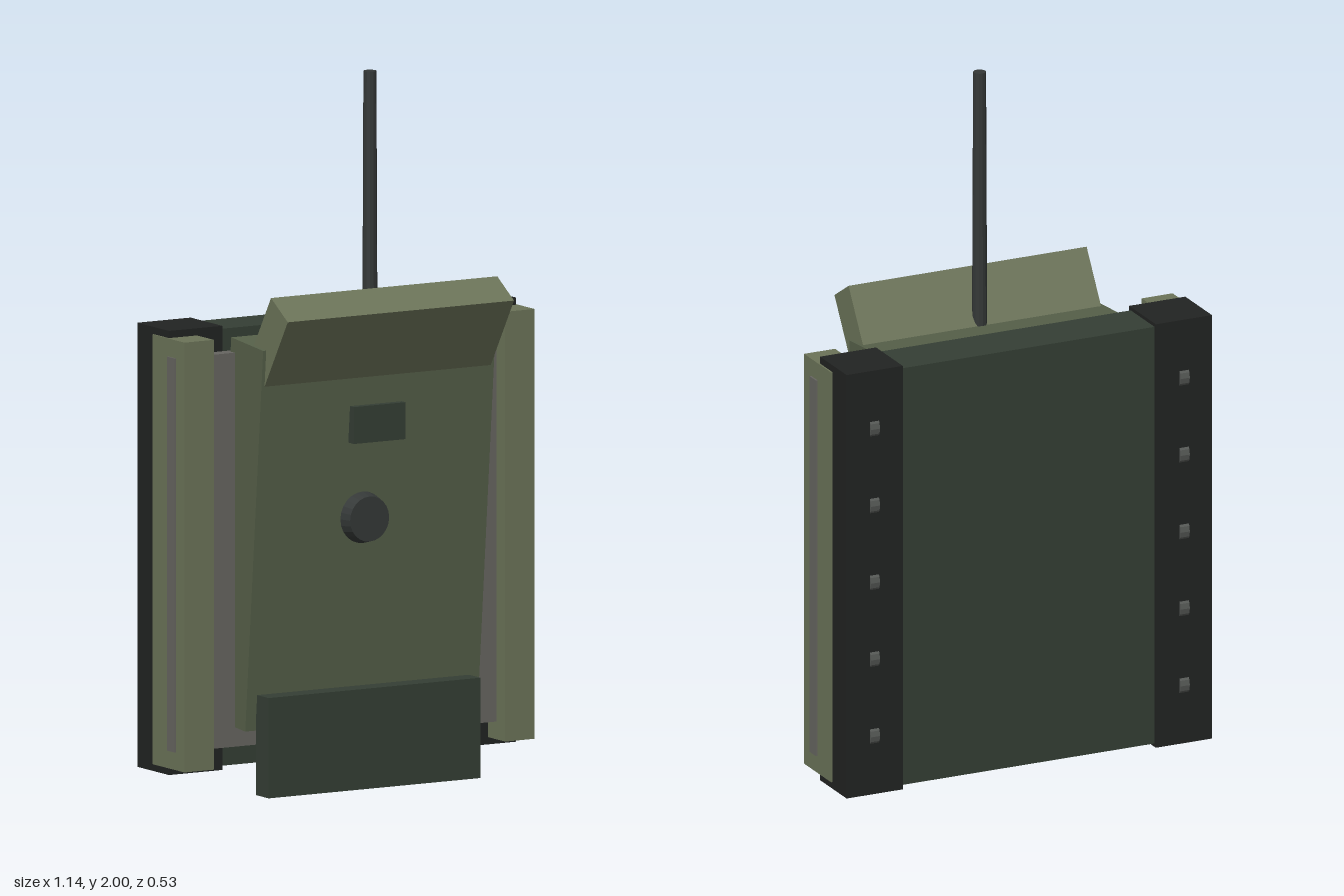
import * as THREE from 'three';

const mat = (color) => new THREE.MeshStandardMaterial({ color, flatShading: true });

export function createModel() {
  const model = new THREE.Group();
  const olive = mat(0x6b7358), green = mat(0x566049), darkGreen = mat(0x343e34);
  const black = mat(0x212322), grey = mat(0x666560), gunmetal = mat(0x343837), steel = mat(0x555855);

  const add = (name, geometry, material, x, y, z, rx = 0) => {
    const mesh = new THREE.Mesh(geometry, material);
    mesh.name = name;
    mesh.position.set(x, y, z);
    mesh.rotation.x = rx;
    model.add(mesh);
    return mesh;
  };
  // Box given by its x, y and z limits
  const box = (name, material, [x0, x1], [y0, y1], [z0, z1]) => add(name,
    new THREE.BoxGeometry(x1 - x0, y1 - y0, z1 - z0), material,
    (x0 + x1) / 2, (y0 + y1) / 2, (z0 + z1) / 2);

  // Back plate and cross slab running between the sides
  box('backPlate', darkGreen, [-0.43, 0.43], [0.07, 1.29], [-0.25, -0.1]);
  box('crossSlab', grey, [-0.57, 0.57], [0.13, 1.23], [-0.085, -0.045]);

  // Tilted main body and the flap at its top
  add('body', new THREE.BoxGeometry(0.75, 1.08, 0.17), green, 0, 0.725, -0.027, 0.088);
  add('topFlap', new THREE.BoxGeometry(0.73, 0.38, 0.105), olive, 0, 1.217, 0.074, 0.56);

  // Side rails, fenders and rear rollers, mirrored
  for (const side of [-1, 1]) {
    const span = (a, b) => (side > 0 ? [a, b] : [-b, -a]);
    box('rearRail', black, span(0.388, 0.56), [0.06, 1.3], [-0.258, -0.09]);
    box('fender', olive, span(0.47, 0.565), [0.08, 1.28], [-0.17, 0]);
    for (let i = 0; i < 5; i++) {
      const roller = new THREE.CylinderGeometry(0.04, 0.04, 0.028, 16).rotateZ(Math.PI / 2);
      add('roller', roller, steel, side * 0.475, 0.23 + i * 0.225, -0.225);
    }
  }

  // Front fittings
  box('lowerPlate', darkGreen, [-0.342, 0.342], [0, 0.28], [0.013, 0.08]);
  box('frontHatch', darkGreen, [-0.085, 0.082], [0.972, 1.075], [0.04, 0.11]);
  const knob = new THREE.CylinderGeometry(0.063, 0.072, 0.037, 24).rotateX(Math.PI / 2);
  add('knob', knob, gunmetal, -0.13, 0.788, 0.249);

  // Antenna rod
  add('antenna', new THREE.CylinderGeometry(0.018, 0.021, 0.75, 12), gunmetal, 0, 1.625, 0.055);

  return model;
}
